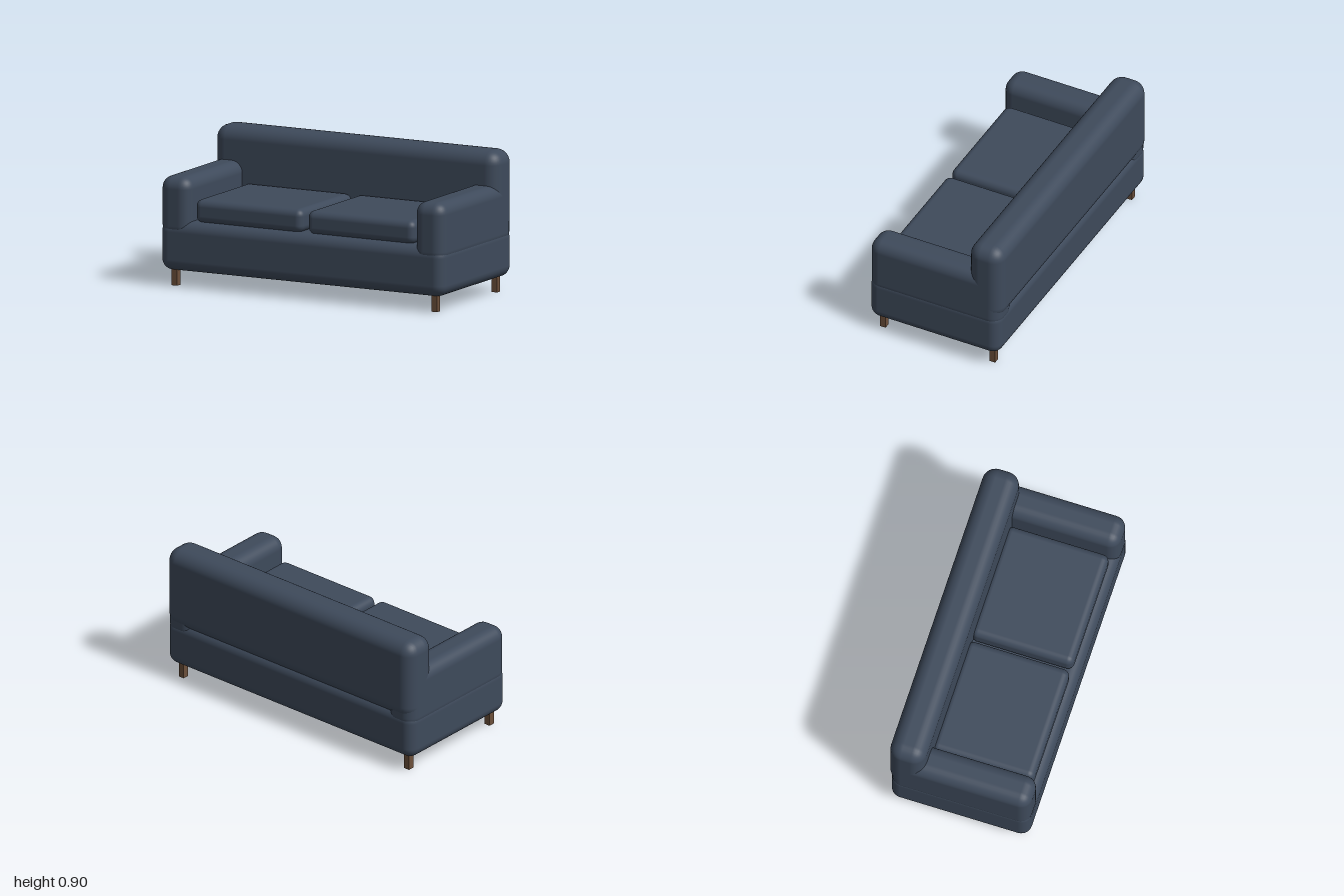
import * as THREE from 'three';
import { RoundedBoxGeometry } from 'three/addons/geometries/RoundedBoxGeometry.js';

export function createModel() {
  const sofa = new THREE.Group();
  sofa.name = 'sofa';

  const fabric = new THREE.MeshStandardMaterial({ color: 0x3e4a5b });
  fabric.name = 'slate blue fabric';
  const wood = new THREE.MeshStandardMaterial({ color: 0x6b4f3a });
  wood.name = 'brown wood';

  // Adds a box given its extents on each axis; a radius softens its edges
  function addBox(name, material, [x0, x1], [y0, y1], [z0, z1], radius = 0) {
    const size = [x1 - x0, y1 - y0, z1 - z0];
    const geometry = radius
      ? new RoundedBoxGeometry(...size, 4, radius)
      : new THREE.BoxGeometry(...size);
    const mesh = new THREE.Mesh(geometry, material);
    mesh.name = name;
    mesh.position.set((x0 + x1) / 2, (y0 + y1) / 2, (z0 + z1) / 2);
    sofa.add(mesh);
  }

  // Full-width upholstered body
  addBox('base', fabric, [-1, 1], [0.098, 0.412], [-0.446, 0.458], 0.07);
  addBox('backrest', fabric, [-1, 1], [0.37, 0.897], [-0.458, -0.227], 0.085);

  // Mirrored arms, seat cushions and legs
  for (const [side, s] of [['left', 1], ['right', -1]]) {
    const span = (inner, outer) => (s > 0 ? [inner, outer] : [-outer, -inner]);
    addBox(side + 'Arm', fabric, span(0.79, 1), [0.305, 0.686], [-0.446, 0.458], 0.075);
    addBox(side + 'SeatCushion', fabric, span(0.017, 0.772), [0.405, 0.552], [-0.25, 0.414], 0.045);
    addBox(side + 'FrontLeg', wood, span(0.895, 0.935), [0, 0.11], [0.367, 0.407]);
    addBox(side + 'BackLeg', wood, span(0.895, 0.935), [0, 0.11], [-0.392, -0.352]);
  }

  return sofa;
}
